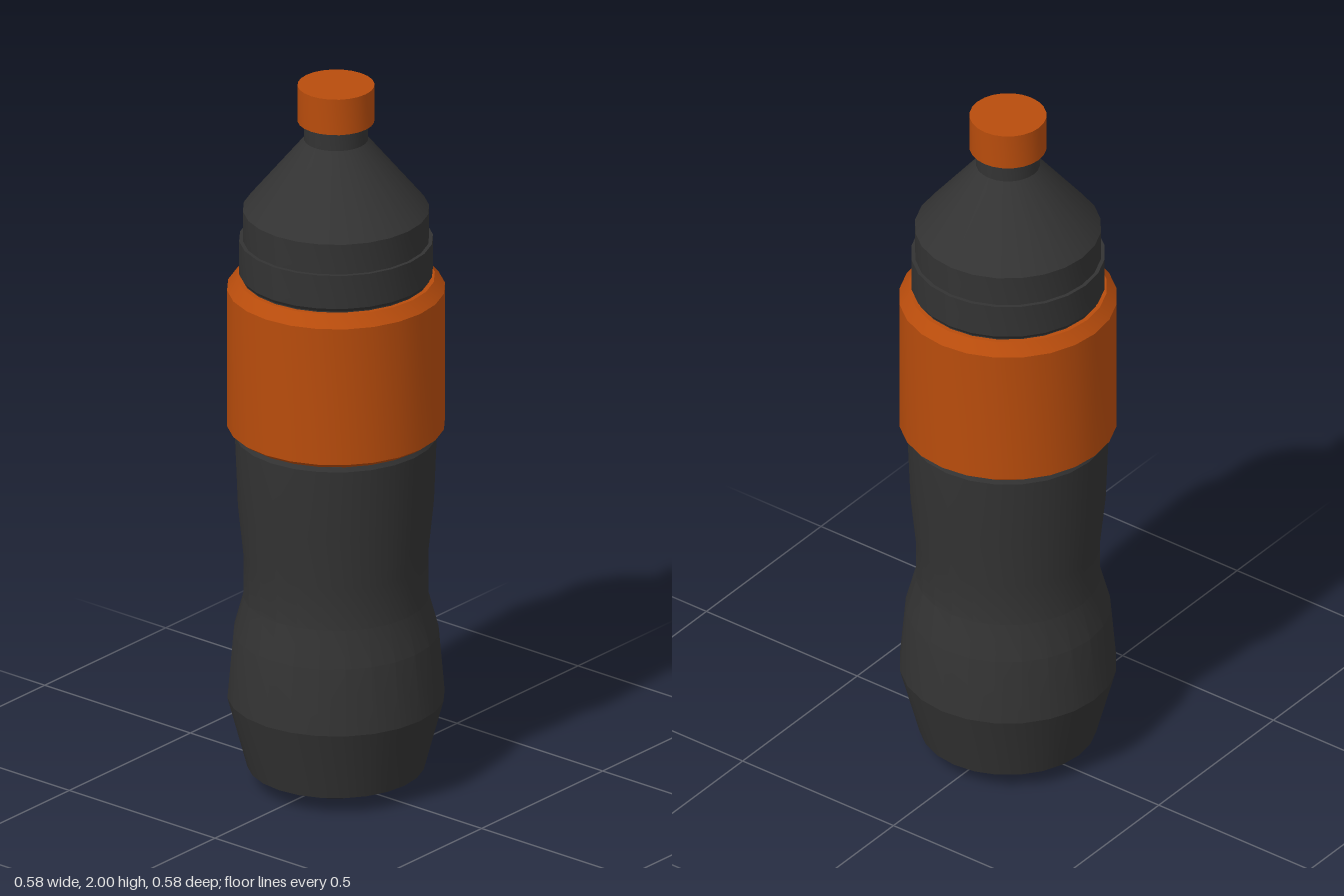
import * as THREE from 'three';
import { toCreasedNormals } from 'three/addons/utils/BufferGeometryUtils.js';

const SEGMENTS = 24;
const dark = new THREE.MeshStandardMaterial({ color: 0x333333 });
const orange = new THREE.MeshStandardMaterial({ color: 0xb84c0c });

// Revolves a bottom-to-top [radius, height] profile, keeping hard rings sharp
function turned(name, profile, material) {
  const points = profile.map(([r, y]) => new THREE.Vector2(r, y));
  const lathe = new THREE.LatheGeometry(points, SEGMENTS);
  const mesh = new THREE.Mesh(toCreasedNormals(lathe, 0.3), material);
  mesh.name = name;
  return mesh;
}

export function createModel() {
  const bottle = new THREE.Group();
  bottle.name = 'bottle';

  // Waisted lower body, running up inside the band to the collar
  bottle.add(turned('body', [
    [0, 0], [0.12, 0], [0.235, 0.05], [0.288, 0.25], [0.272, 0.435],
    [0.245, 0.535], [0.245, 0.655], [0.26, 0.8], [0.268, 1.0], [0.262, 1.012],
    [0.25, 1.02], [0.25, 1.455],
  ], dark));

  // Raised collar, shoulder cone and neck
  bottle.add(turned('shoulder', [
    [0.245, 1.455], [0.25, 1.455], [0.257, 1.465], [0.257, 1.56], [0.247, 1.56],
    [0.247, 1.645], [0.085, 1.845], [0.085, 1.91],
  ], dark));

  // Wide grip band with chamfered rims
  bottle.add(turned('band', [
    [0.245, 1.015], [0.268, 1.015], [0.289, 1.03], [0.289, 1.42],
    [0.262, 1.452], [0.245, 1.452],
  ], orange));

  // Screw cap
  bottle.add(turned('cap', [
    [0, 1.898], [0.102, 1.898], [0.102, 2], [0, 2],
  ], orange));

  return bottle;
}
